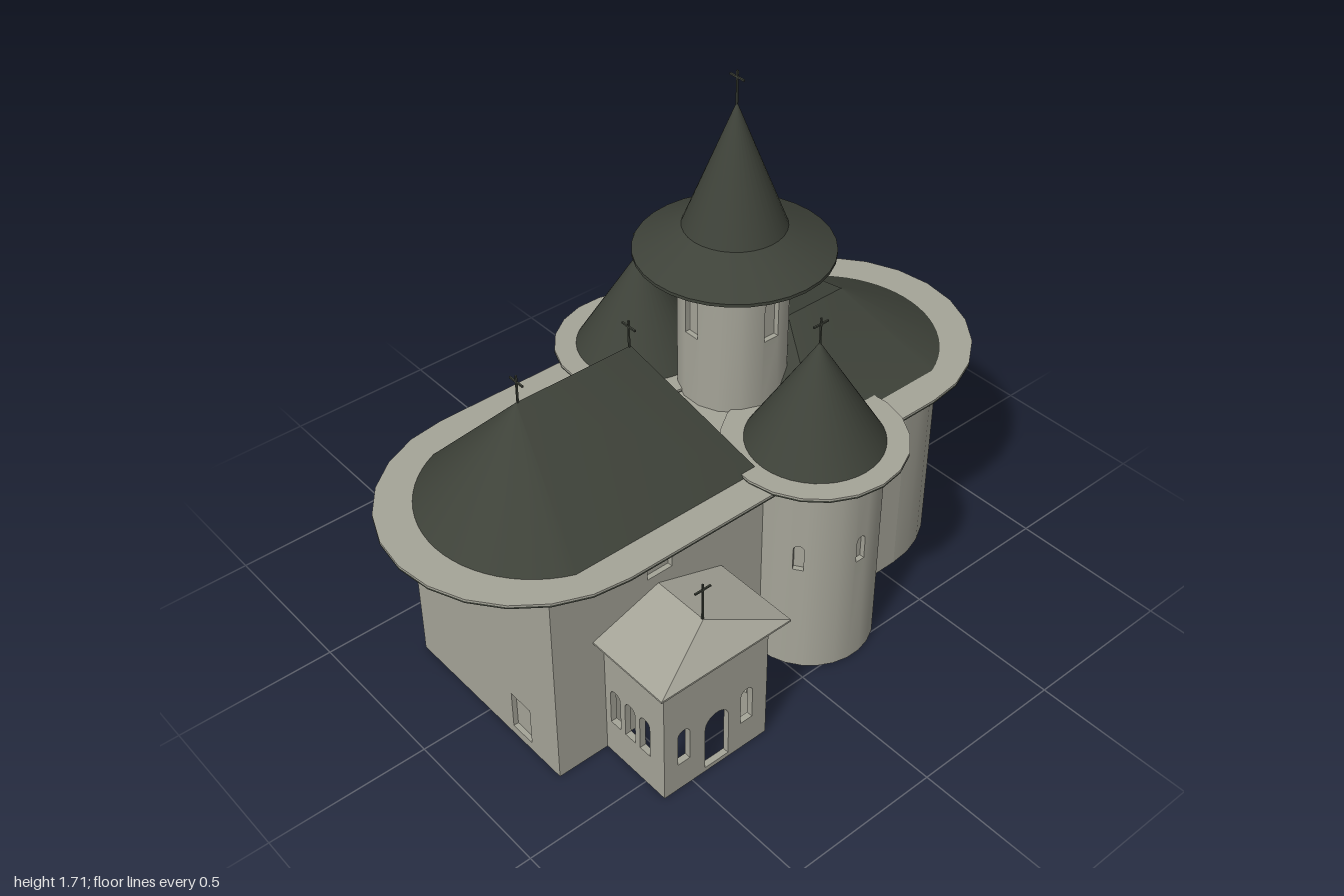
import * as THREE from 'three';
import { mergeGeometries, toCreasedNormals } from 'three/addons/utils/BufferGeometryUtils.js';
import { ConvexGeometry } from 'three/addons/geometries/ConvexGeometry.js';

const stone = new THREE.MeshStandardMaterial({ color: 0xa5a498, side: THREE.DoubleSide });
const slate = new THREE.MeshStandardMaterial({ color: 0x3e4239, side: THREE.DoubleSide });
const V = (x, y, z) => new THREE.Vector3(x, y, z);

function add(parent, name, geometry, material) {
  const mesh = new THREE.Mesh(geometry, material);
  mesh.name = name;
  parent.add(mesh);
  return mesh;
}

// Plan points [x, z] along an arc, counter-clockwise seen from above (degrees)
function arc(cx, cz, r, n, from, to) {
  return Array.from({ length: n + 1 }, (_, i) => {
    const a = THREE.MathUtils.degToRad(from + (to - from) * i / n);
    return [cx + r * Math.cos(a), cz - r * Math.sin(a)];
  });
}

// Outline of an opening, with a round or a square head
function openingPath({ at, w, y0, y1, square }, Type) {
  const p = new Type(), h = w / 2;
  p.moveTo(at - h, y0);
  p.lineTo(at + h, y0);
  if (square) p.lineTo(at + h, y1).lineTo(at - h, y1);
  else {
    p.lineTo(at + h, y1 - h);
    p.absarc(at, y1 - h, h, 0, Math.PI, false);
  }
  p.closePath();
  return p;
}

// One upright wall panel from plan point a to b; openings are recessed niches or go right through
function panel([ax, az], [bx, bz], y0, y1, openings, through) {
  const len = Math.hypot(bx - ax, bz - az), depth = 0.02;
  const shape = new THREE.Shape([[0, y0], [len, y0], [len, y1], [0, y1]].map(p => new THREE.Vector2(...p)));
  const parts = [];
  for (const o of openings) {
    const centred = { ...o, at: o.at ?? len / 2 };
    shape.holes.push(openingPath(centred, THREE.Path));
    if (!through) {
      parts.push(new THREE.ExtrudeGeometry(openingPath(centred, THREE.Shape),
        { depth: 0.004, bevelEnabled: false, curveSegments: 8 }));
    }
  }
  parts.push(new THREE.ExtrudeGeometry(shape, { depth, bevelEnabled: false, curveSegments: 8 }));
  return parts.map(g => g.translate(0, 0, -depth)
    .rotateY(Math.atan2(az - bz, bx - ax)).translate(ax, 0, az));
}

// A run of panels; openings are listed by panel number
function wallRun(points, y0, y1, openings = {}, through = false) {
  const parts = [];
  for (let i = 0; i < points.length - 1; i++) {
    parts.push(...panel(points[i], points[i + 1], y0, y1, openings[i] ?? [], through));
  }
  return toCreasedNormals(mergeGeometries(parts), 0.5);
}

// Thin flat slab from a plan outline
function slab(points, y, thickness) {
  const shape = new THREE.Shape(points.map(([x, z]) => new THREE.Vector2(x, -z)));
  return new THREE.ExtrudeGeometry(shape, { depth: thickness, bevelEnabled: false })
    .rotateX(-Math.PI / 2).translate(0, y, 0);
}

// Light on top, dark on the underside
function eave(parent, name, points, y) {
  add(parent, name, slab(points, y, 0.006), stone);
  add(parent, name + 'Soffit', slab(points, y - 0.006, 0.006), slate);
}

const hull = points => toCreasedNormals(new ConvexGeometry(points), 0.4);

function cross(parent, x, y, z, height, alongZ) {
  const g = new THREE.Group();
  g.name = 'cross';
  add(g, 'post', new THREE.BoxGeometry(0.005, height + 0.02, 0.005), slate).position.y = height / 2 - 0.01;
  add(g, 'bar', new THREE.BoxGeometry(0.056, 0.005, 0.005), slate).position.y = height - 0.02;
  g.position.set(x, y, z);
  if (alongZ) g.rotation.y = Math.PI / 2;
  parent.add(g);
}

export function createModel() {
  const model = new THREE.Group();
  model.name = 'church';
  const W = 0.33, TOP = 0.69, RZ = -0.18, LZ = -0.11, BZ = -0.56, R = 0.2;

  // Nave, with openings in the front and the two long sides
  const upper = at => ({ at, w: 0.086, y0: 0.545, y1: 0.632 });
  add(model, 'frontWall', wallRun([[-W, 0.77], [W, 0.77]], 0, TOP,
    { 0: [upper(0.285), { at: 0.49, w: 0.086, y0: 0.03, y1: 0.16, square: true }] }), stone);
  add(model, 'rightNaveWall', wallRun([[W, 0.77], [W, RZ + R]], 0, TOP, { 0: [upper(0.37)] }), stone);
  add(model, 'leftNaveWall', wallRun([[-W, LZ + R], [-W, 0.77]], 0, TOP,
    { 0: [upper(0.31), { at: 0.27, w: 0.06, y0: 0.35, y1: 0.48 }] }), stone);

  // Side apses
  const slit = y0 => {
    const o = [{ w: 0.032, y0, y1: y0 + 0.09 }];
    return { 2: o, 6: o, 10: o };
  };
  add(model, 'rightApseWall', wallRun(arc(W, RZ, R, 13, -90, 90), 0, 0.7, slit(0.38)), stone);
  add(model, 'leftApseWall', wallRun(arc(-W, LZ, R, 13, 90, 270), 0, 0.7, slit(0.41)), stone);

  // Choir walls and the rounded back apse
  const backWindow = [{ w: 0.055, y0: 0.35, y1: 0.48 }];
  add(model, 'rightChoirWall', wallRun([[W, RZ - R], [W, BZ]], 0, TOP), stone);
  add(model, 'backApseWall', wallRun(arc(0, BZ, W, 15, 0, 180), 0, TOP, { 7: backWindow, 14: backWindow }), stone);
  add(model, 'leftChoirWall', wallRun([[-W, BZ], [-W, LZ - R]], 0, TOP), stone);

  // Eaves
  const stadium = [...arc(-0.01, -0.57, 0.43, 12, 0, 180), ...arc(-0.01, 0.57, 0.43, 12, 180, 360)];
  eave(model, 'mainEave', stadium, 0.692);
  const sides = [['right', 0.325, RZ], ['left', -0.352, LZ]];
  for (const [side, x, z] of sides) {
    eave(model, side + 'ApseEave', arc(x, z, 0.27, 20, 0, 342), 0.702);
    add(model, side + 'ApseRoof', new THREE.ConeGeometry(0.205, 0.335, 40), slate).position.set(x, 0.8725, z);
    cross(model, x, 1.035, z, 0.085, true);
  }

  // Nave roof: a ridge, a hip at the back and a half cone at the front
  const base = pts => pts.map(([x, z]) => V(x, 0.697, z));
  add(model, 'naveRoof', hull([V(-0.005, 1.035, 0.6), V(-0.005, 1.035, 0.215),
    ...base([[-0.33, 0.03], [0.32, 0.03], ...arc(-0.005, 0.54, 0.35, 24, 202, 338)])]), slate);
  cross(model, -0.005, 1.035, 0.595, 0.085);
  cross(model, -0.005, 1.035, 0.22, 0.085);

  // Choir roof, with a wider slope on its left
  add(model, 'choirRoof', hull([V(-0.005, 0.86, -0.38), V(-0.005, 0.86, -0.6),
    ...base([[-0.33, -0.2], [0.32, -0.2], ...arc(-0.005, -0.54, 0.35, 24, 22, 158)])]), slate);
  add(model, 'choirRoofSlope', hull([V(-0.005, 0.86, -0.38), V(-0.005, 0.86, -0.6),
    ...base([[-0.42, -0.38], [-0.42, -0.72], [-0.005, -0.6], [-0.005, -0.38]])]), slate);

  // Round tower with a flared roof
  const tower = new THREE.Group();
  tower.name = 'tower';
  tower.position.set(-0.042, 0, -0.195);
  const towerWindow = [{ w: 0.052, y0: 0.93, y1: 1.065 }];
  add(tower, 'drum', wallRun(arc(0, 0, 0.163, 16, -11.25, 348.75), 0.69, 1.16,
    { 0: towerWindow, 4: towerWindow, 8: towerWindow, 12: towerWindow }), stone);
  const profile = [[0, 1.155], [0.29, 1.155], [0.29, 1.165], [0.15, 1.24], [0, 1.62]];
  add(tower, 'towerRoof', toCreasedNormals(new THREE.LatheGeometry(
    profile.map(p => new THREE.Vector2(...p)), 32), 0.4), slate);
  cross(tower, 0, 1.62, 0, 0.092);
  model.add(tower);

  // Porch on the right, with open arches
  const arches = xs => xs.map(at => ({ at, w: 0.043, y0: 0.12, y1: 0.25 }));
  const porch = new THREE.Group();
  porch.name = 'porch';
  add(porch, 'porchWalls', wallRun([[0.32, 0.6], [0.58, 0.6], [0.58, 0.225], [0.32, 0.225]], 0, 0.44, {
    0: arches([0.053, 0.116, 0.179]),
    1: [{ at: 0.07, w: 0.043, y0: 0.1, y1: 0.225 }, { at: 0.19, w: 0.086, y0: 0.015, y1: 0.21 },
      { at: 0.3, w: 0.043, y0: 0.1, y1: 0.225 }],
    2: arches([0.081, 0.144, 0.207]),
  }, true), stone);
  const corners = [[0.325, 0.175], [0.615, 0.175], [0.615, 0.635], [0.325, 0.635]];
  add(porch, 'porchRoof', toCreasedNormals(new ConvexGeometry([
    V(0.325, 0.512, 0.405), V(0.515, 0.512, 0.405),
    ...corners.flatMap(([x, z]) => [V(x, 0.43, z), V(x, 0.436, z)])]), 0.2), stone);
  cross(porch, 0.512, 0.512, 0.405, 0.125, true);
  model.add(porch);

  return model;
}
